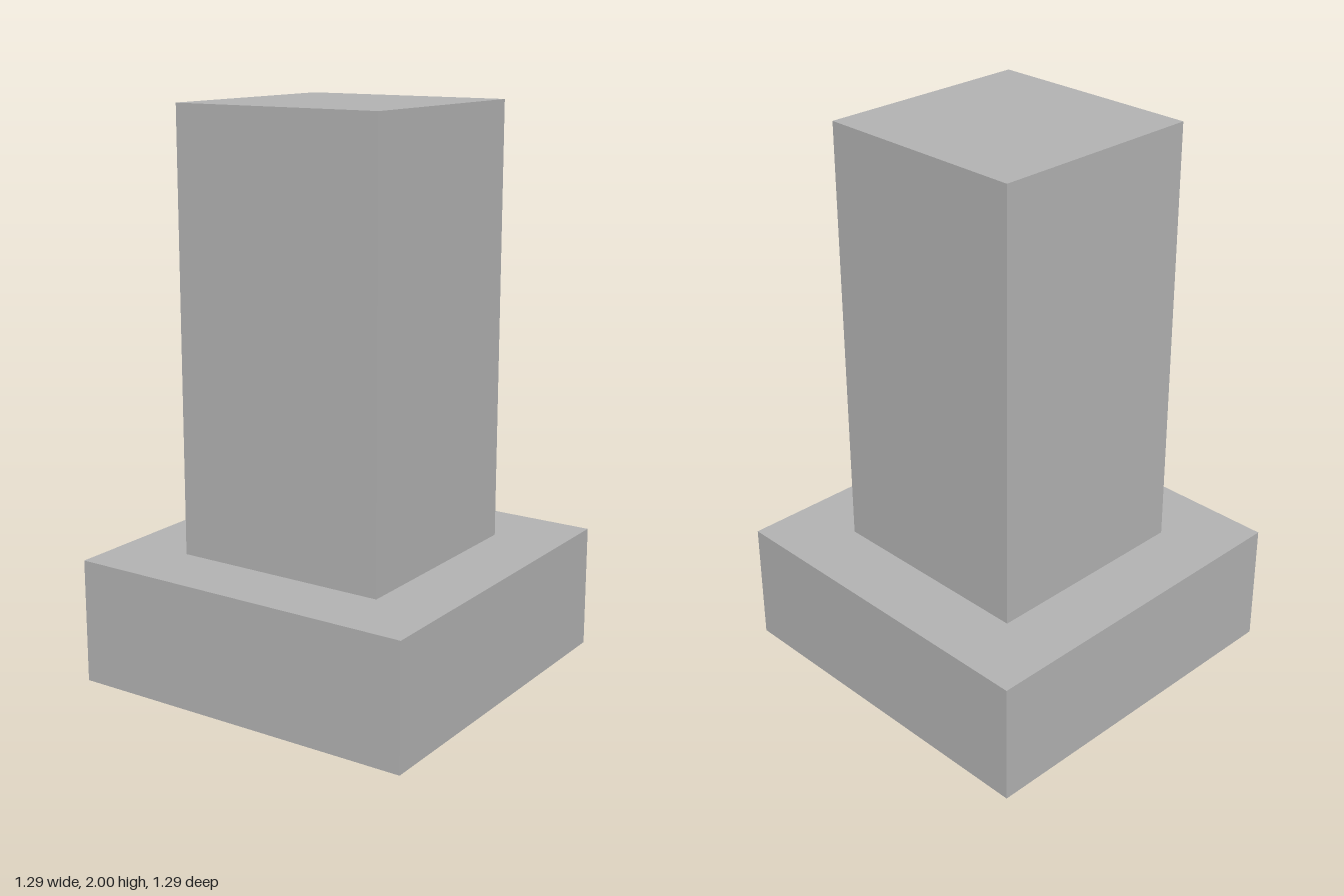
import * as THREE from 'three';

export function createModel() {
  const group = new THREE.Group();
  const grey = new THREE.MeshStandardMaterial({ color: 0xb2b2b2 });
  grey.name = 'grey';

  // Square block of the given width, standing between two heights
  const addBlock = (name, width, bottom, top) => {
    const mesh = new THREE.Mesh(new THREE.BoxGeometry(width, top - bottom, width), grey);
    mesh.name = name;
    mesh.position.y = (bottom + top) / 2;
    group.add(mesh);
  };

  addBlock('base', 1.29, 0, 0.444);
  addBlock('column', 0.79, 0.444, 2);
  return group;
}
